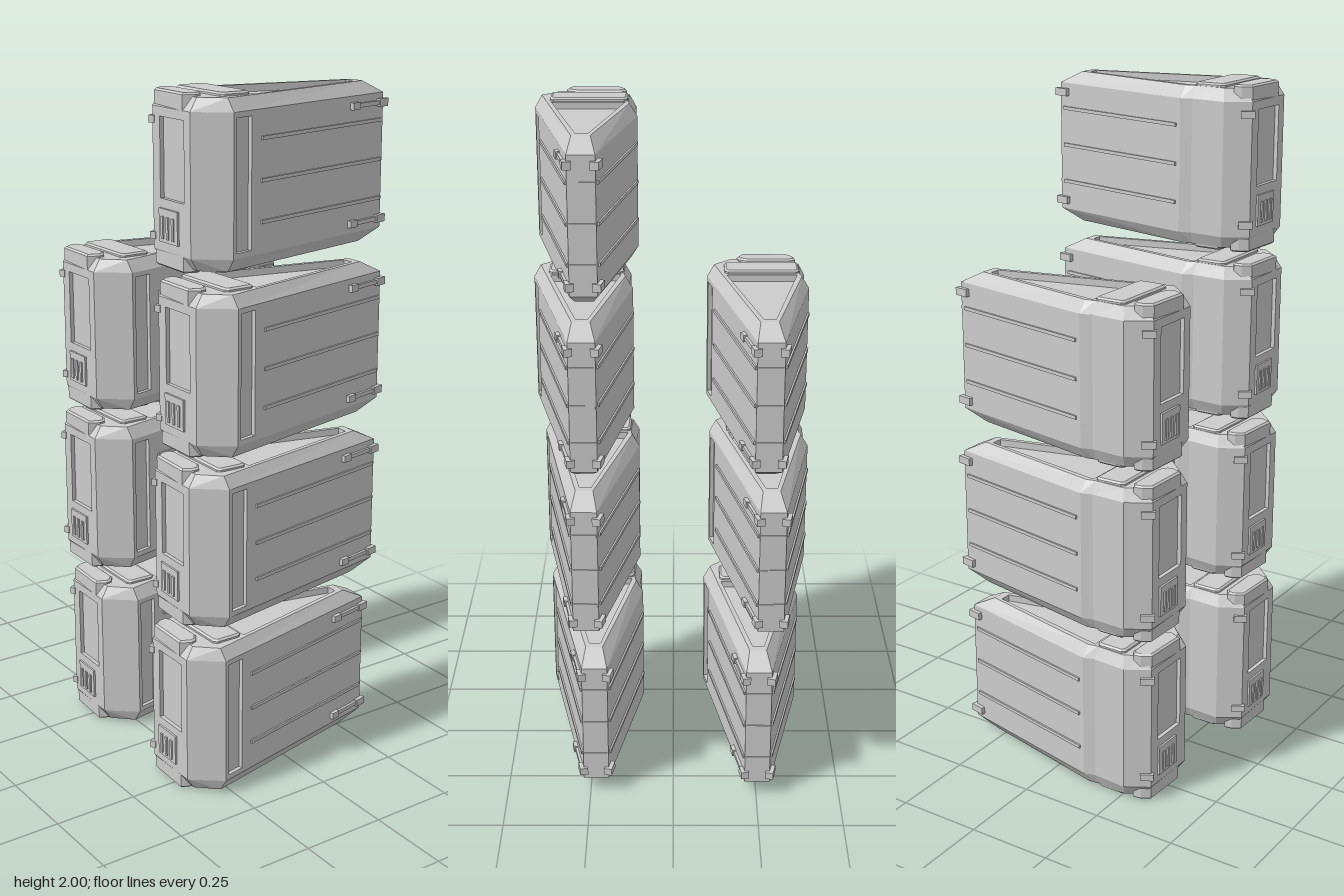
import * as THREE from 'three';

const material = new THREE.MeshStandardMaterial({ color: 0xcccccc, flatShading: true });
const HALF_WALL = 0.19, HALF_BODY = 0.225, HALF_TOTAL = 0.235;

// Plan outlines [x, z], counter-clockwise from above, starting at the front wide corner
const OUTER = [[-0.255, 0.4], [0.344, 0.275], [0.344, 0.2], [-0.135, 0.102],
  [-0.168, 0.113], [-0.272, 0.108], [-0.34, 0.15], [-0.342, 0.33]];
const INNER = [[-0.26, 0.38], [0.275, 0.265], [0.275, 0.215], [-0.14, 0.124],
  [-0.168, 0.129], [-0.262, 0.126], [-0.315, 0.16], [-0.318, 0.325]];
const LID_RECESS = [[-0.155, 0.345], [0.252, 0.255], [0.252, 0.222], [-0.155, 0.137]];

const flip = pts => pts.map(([x, z]) => [x, -z]);
const shapeOf = pts => new THREE.Shape(pts.map(([x, y]) => new THREE.Vector2(x, y)));
const rect = (x0, y0, x1, y1) => [[x0, y0], [x1, y0], [x1, y1], [x0, y1]];

function add(parent, name, geometry) {
  const mesh = new THREE.Mesh(geometry, material);
  mesh.name = name;
  parent.add(mesh);
  return mesh;
}

// Band of quads between two closed rings of [x, y, z]
function loft(a, b) {
  const pos = [];
  a.forEach((p, i) => {
    const j = (i + 1) % a.length;
    pos.push(...p, ...a[j], ...b[j], ...p, ...b[j], ...b[i]);
  });
  const g = new THREE.BufferGeometry();
  g.setAttribute('position', new THREE.Float32BufferAttribute(pos, 3));
  g.computeVertexNormals();
  return g;
}

// Flat panel in the XY plane with an optional sunken area
function panel(parent, name, outline, hole, depth) {
  const shape = shapeOf(outline);
  if (hole) {
    shape.holes.push(shapeOf(hole));
    add(parent, name + 'RecessFloor', new THREE.ShapeGeometry(shapeOf(hole))).position.z = -depth;
    add(parent, name + 'RecessWalls', loft(hole.map(p => [...p, 0]), hole.map(p => [...p, -depth])));
  }
  add(parent, name, new THREE.ShapeGeometry(shape));
}

function box(parent, name, x, y, w, h, d) {
  add(parent, name, new THREE.BoxGeometry(w, h, d * 2)).position.set(x, y, 0);
}

// Raised plate with bevelled edges, standing on the XY plane
function plate(parent, name, pts, height) {
  add(parent, name, new THREE.ExtrudeGeometry(shapeOf(pts), {
    depth: height, bevelThickness: 0.005, bevelSize: 0.006, bevelOffset: -0.006, bevelSegments: 1,
  })).position.z = -height + 0.005;
}

function makeLid() {
  const lid = new THREE.Group();
  lid.name = 'lid';
  add(lid, 'bevel', loft(OUTER.map(([x, z]) => [x, HALF_WALL, z]), INNER.map(([x, z]) => [x, HALF_BODY, z])));
  const face = new THREE.Group();
  face.name = 'lidFace';
  face.rotation.x = -Math.PI / 2;
  face.position.y = HALF_BODY;
  lid.add(face);
  panel(face, 'lidPanel', flip(INNER), flip(LID_RECESS), 0.02);
  plate(face, 'crossPlate', flip([[-0.258, 0.34], [-0.248, 0.35], [-0.175, 0.35], [-0.165, 0.34],
    [-0.165, 0.14], [-0.175, 0.13], [-0.248, 0.13], [-0.258, 0.14]]), 0.02);
  plate(face, 'endPad', flip([[-0.342, 0.295], [-0.31, 0.31], [-0.292, 0.305], [-0.276, 0.28],
    [-0.276, 0.155], [-0.288, 0.135], [-0.312, 0.138], [-0.337, 0.155]]), 0.04);
  return lid;
}

function makeContainer() {
  const unit = new THREE.Group();
  unit.name = 'container';
  const recesses = { 0: [rect(0.012, -0.175, 0.068, 0.175), 0.012], 6: [rect(0.035, -0.05, 0.15, 0.165), 0.012] };
  const names = ['frontWall', 'narrowEnd', 'backWall', 'backStep', 'backWidePanel',
    'backCorner', 'wideEnd', 'frontCorner'];

  // Walls: each one a panel whose local x runs left to right as seen from outside
  const walls = OUTER.map(([x, z], i) => {
    const [x2, z2] = OUTER[(i + 1) % OUTER.length];
    const wall = new THREE.Group();
    wall.name = names[i];
    wall.position.set(x, 0, z);
    wall.rotation.y = Math.atan2(z - z2, x2 - x);
    wall.userData.length = Math.hypot(x2 - x, z2 - z);
    panel(wall, names[i] + 'Panel', rect(0, -HALF_WALL, wall.userData.length, HALF_WALL), ...(recesses[i] || []));
    unit.add(wall);
    return wall;
  });
  const [front, narrow, back, , , corner, wide] = walls;

  // Horizontal ribs along both long sides and round the narrow end
  for (const y of [0.115, 0.005, -0.105]) {
    box(front, 'rib', 0.355, y, 0.5, 0.01, 0.005);
    box(narrow, 'rib', narrow.userData.length / 2, y, 0.07, 0.01, 0.003);
    box(back, 'rib', 0.245, y, 0.46, 0.01, 0.005);
  }

  // Latches near the top and bottom edges
  for (const y of [0.163, -0.163]) {
    box(front, 'latchBar', 0.54, y, 0.14, 0.012, 0.008);
    box(front, 'latchFoot', 0.483, y, 0.03, 0.02, 0.012);
    box(front, 'latchHook', 0.603, y, 0.035, 0.022, 0.012);
    box(back, 'latchHook', 0.012, y, 0.045, 0.022, 0.012);
    box(corner, 'cornerLatch', corner.userData.length - 0.012, y * 0.95, 0.04, 0.02, 0.008);
  }

  // Vent box below the window of the wide end
  box(wide, 'ventBox', 0.08, -0.12, 0.09, 0.09, 0.006);
  for (let i = 0; i < 3; i++) box(wide, 'ventSlat', 0.055 + i * 0.025, -0.125, 0.01, 0.06, 0.01);

  const lid = makeLid(), base = makeLid();
  base.name = 'base';
  base.scale.y = -1;
  unit.add(lid, base);
  return unit;
}

export function createModel() {
  const model = new THREE.Group();
  model.name = 'containerStacks';
  const container = makeContainer();
  const heights = [HALF_TOTAL, 0.75, 1.257, 2 - HALF_TOTAL];
  // Per layer: x shift, z shift, turn
  const stacks = {
    frontStack: [[-0.02, -0.005, 0], [-0.008, 0.006, -0.025], [0, 0.015, 0.015], [0, 0, 0]],
    backStack: [[0, -0.495, -0.015], [-0.005, -0.516, 0.012], [0, -0.502, 0]],
  };
  for (const [name, layers] of Object.entries(stacks)) {
    const stack = new THREE.Group();
    stack.name = name;
    layers.forEach(([x, z, turn], i) => {
      // Turn about the middle of the container
      const pivot = new THREE.Group();
      pivot.name = 'layer' + (i + 1);
      pivot.position.set(x, heights[i], z + 0.25);
      pivot.rotation.y = turn;
      const unit = container.clone();
      unit.position.z = -0.25;
      pivot.add(unit);
      stack.add(pivot);
    });
    model.add(stack);
  }
  return model;
}
